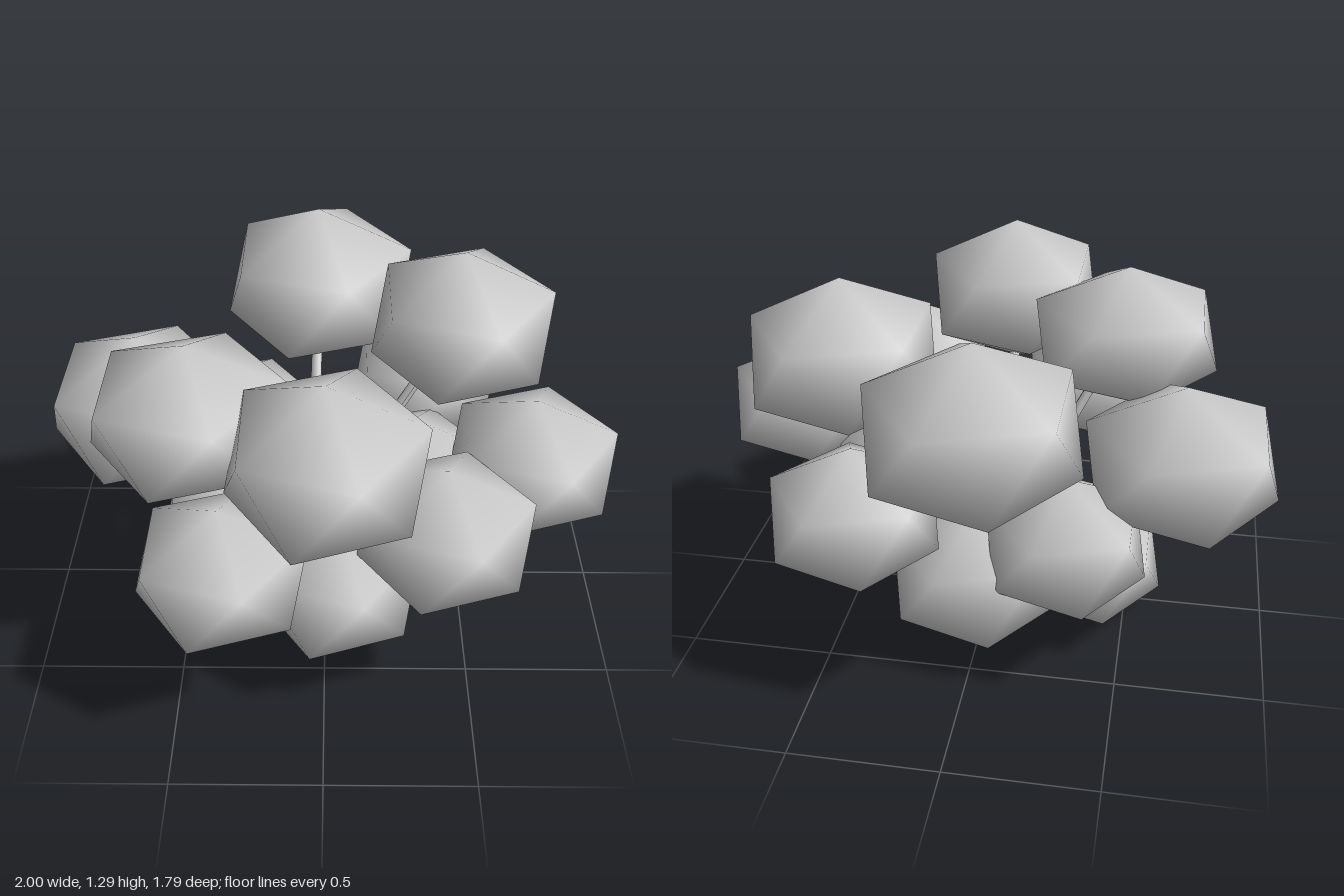
import * as THREE from 'three';

const grey = new THREE.MeshStandardMaterial({ color: 0xcccccc });
grey.name = 'plain grey';

// Twelve-cornered foliage ball: two poles and two staggered rings of five, shared smooth normals
function ballGeometry() {
  const ringY = 1 / Math.sqrt(5), ringR = 2 / Math.sqrt(5);
  const pos = [0, 1, 0], index = [];
  for (const side of [1, -1]) {
    for (let i = 0; i < 5; i++) {
      const a = (i + (side < 0 ? 0.5 : 0)) * Math.PI * 2 / 5;
      pos.push(ringR * Math.cos(a), side * ringY, -ringR * Math.sin(a));
    }
  }
  pos.push(0, -1, 0);
  for (let i = 0; i < 5; i++) {
    const j = (i + 1) % 5;
    const u = 1 + i, un = 1 + j, l = 6 + i, ln = 6 + j;
    index.push(0, u, un, u, l, un, l, ln, un, 11, ln, l);
  }
  const geo = new THREE.BufferGeometry();
  geo.setAttribute('position', new THREE.Float32BufferAttribute(pos, 3));
  geo.setIndex(index);
  geo.computeVertexNormals();
  return geo;
}

// Curved branch that narrows toward its tip
function branchGeometry(curve, baseRadius, tipRadius) {
  const steps = 6, sides = 6;
  const geo = new THREE.TubeGeometry(curve, steps, baseRadius, sides, false);
  const p = geo.attributes.position, v = new THREE.Vector3();
  for (let i = 0; i < p.count; i++) {
    const t = Math.floor(i / (sides + 1)) / steps;
    const c = curve.getPointAt(t);
    const k = THREE.MathUtils.lerp(1, tipRadius / baseRadius, Math.sqrt(t));
    v.fromBufferAttribute(p, i).sub(c).multiplyScalar(k).add(c);
    p.setXYZ(i, v.x, v.y, v.z);
  }
  geo.computeVertexNormals();
  return geo;
}

// Centre x, y, z, then ring radius in x, half height, ring radius in z
const balls = [
  [0.475, 1.015, -0.185, 0.315, 0.275, 0.34],
  [0.005, 0.985, 0.57, 0.315, 0.275, 0.34],
  [-0.03, 0.97, -0.56, 0.343, 0.295, 0.357],
  [-0.44, 0.95, 0.28, 0.33, 0.26, 0.326],
  [-0.67, 0.695, -0.15, 0.33, 0.275, 0.347],
  [0.71, 0.67, 0.14, 0.285, 0.24, 0.295],
  [0.385, 0.68, 0.53, 0.28, 0.24, 0.285],
  [0.38, 0.59, -0.49, 0.28, 0.245, 0.285],
  [-0.33, 0.595, 0.62, 0.28, 0.235, 0.285],
  [-0.305, 0.465, -0.36, 0.27, 0.245, 0.28],
  [0.04, 0.39, 0.43, 0.28, 0.25, 0.3],
  [-0.36, 0.23, -0.09, 0.265, 0.22, 0.27],
  [0.01, 0.285, -0.31, 0.29, 0.265, 0.29],
  [0.31, 0.48, 0.01, 0.285, 0.26, 0.28],
];

export function createModel() {
  const group = new THREE.Group();
  const foliage = new THREE.Group();
  foliage.name = 'foliage';
  const branches = new THREE.Group();
  branches.name = 'branches';
  group.add(foliage, branches);

  const ball = ballGeometry();
  const ringR = 2 / Math.sqrt(5);
  const root = new THREE.Vector3(-0.05, 0.02, 0.07);
  for (const [x, y, z, rx, ry, rz] of balls) {
    const leaf = new THREE.Mesh(ball, grey);
    leaf.name = 'foliageBall';
    leaf.position.set(x, y, z);
    leaf.scale.set(rx / ringR, ry, rz / ringR);
    foliage.add(leaf);

    // One branch from the root into each foliage ball
    const start = new THREE.Vector3(root.x + (x - root.x) * 0.06, 0.03, root.z + (z - root.z) * 0.06);
    const end = new THREE.Vector3(x, y, z);
    const bend = new THREE.Vector3(
      THREE.MathUtils.lerp(root.x, x, 0.3), y * 0.6, THREE.MathUtils.lerp(root.z, z, 0.3));
    const branch = new THREE.Mesh(
      branchGeometry(new THREE.QuadraticBezierCurve3(start, bend, end), 0.036, 0.016), grey);
    branch.name = 'branch';
    branches.add(branch);
  }

  // Short stump joining the branches
  const stump = new THREE.Mesh(new THREE.CylinderGeometry(0.075, 0.06, 0.06, 8), grey);
  stump.name = 'stump';
  stump.position.set(root.x, 0.03, root.z);
  group.add(stump);
  return group;
}
